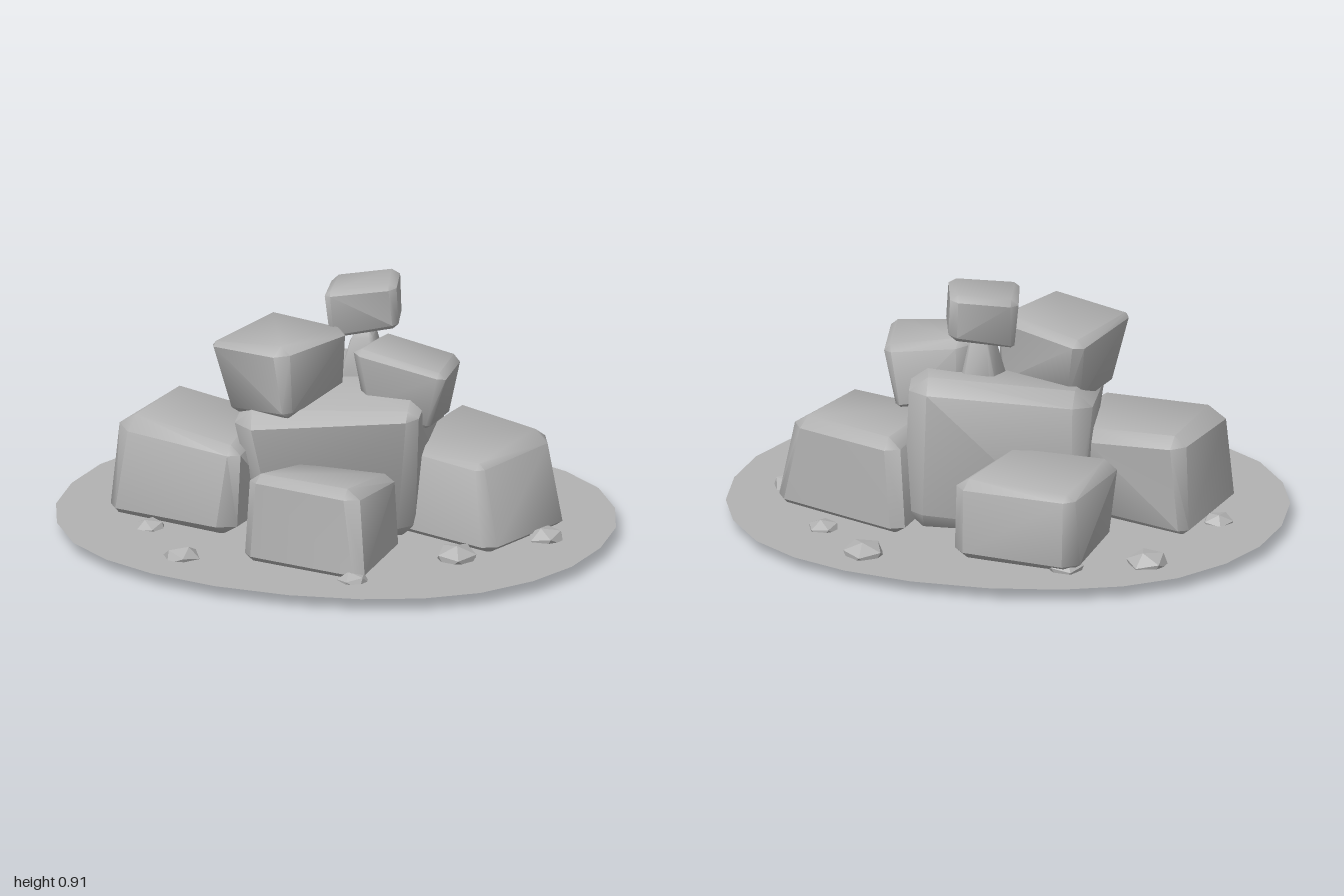
import * as THREE from 'three';
import { toCreasedNormals } from 'three/addons/utils/BufferGeometryUtils.js';
import { ConvexGeometry } from 'three/addons/geometries/ConvexGeometry.js';

// seeded random numbers for uneven chamfers and pebble turns
function seeded(seed) {
  return () => {
    seed = (seed * 16807) % 2147483647;
    return seed / 2147483647;
  };
}

// chamfered block spanned by bottom and top corners, each listed
// front-left, front-right, back-right, back-left as [x, y, z]
function rockGeometry(bottom, top, random) {
  const at = (u, v, w) => {
    const p = new THREE.Vector3();
    [bottom, top].forEach((ring, level) => ring.forEach((corner, i) => {
      const sx = i === 1 || i === 2 ? 1 : -1;
      const sz = i < 2 ? 1 : -1;
      const weight = (1 + sx * u) * (1 + (level ? v : -v)) * (1 + sz * w) / 8;
      p.addScaledVector(new THREE.Vector3(...corner), weight);
    }));
    return p;
  };
  const points = [];
  for (const x of [-1, 1]) for (const y of [-1, 1]) for (const z of [-1, 1]) {
    const k = 1 - (0.1 + 0.16 * random());
    points.push(at(x, y * k, z * k), at(x * k, y, z * k), at(x * k, y * k, z));
  }
  return toCreasedNormals(new ConvexGeometry(points), 0.85);
}

export function createModel() {
  const group = new THREE.Group();
  const stone = new THREE.MeshStandardMaterial({ color: 0xb2b2b2 });
  stone.name = 'grey stone';
  const ground = new THREE.MeshStandardMaterial({ color: 0xb2b2b2, side: THREE.DoubleSide });
  ground.name = 'grey ground';
  const random = seeded(4711);

  const add = (name, geometry, material = stone) => {
    const mesh = new THREE.Mesh(geometry, material);
    mesh.name = name;
    group.add(mesh);
    return mesh;
  };
  const rock = (name, bottom, top) => add(name, rockGeometry(bottom, top, random));
  const B = 0.04; // underside of the rocks resting on the ground

  // thin oval ground patch, one quarter outline mirrored four ways
  const quarter = [[1, 0], [0.975, 0.225], [0.9, 0.418], [0.77, 0.6], [0.6, 0.727], [0.395, 0.812], [0.14, 0.86]];
  const half = [...quarter, ...quarter.slice().reverse().map(([x, z]) => [-x, z])];
  const outline = [...half, ...half.slice(1, -1).reverse().map(([x, z]) => [x, -z])];
  const patch = new THREE.ShapeGeometry(new THREE.Shape(outline.map(([x, z]) => new THREE.Vector2(x, z))));
  add('groundPatch', patch.rotateX(-Math.PI / 2).translate(0, 0.046, 0), ground);

  // big rocks around the base
  rock('centreRock',
    [[-0.2, B, 0.25], [0.34, B, 0.15], [0.3, B, -0.38], [-0.34, B, -0.3]],
    [[-0.29, 0.48, 0.32], [0.39, 0.54, 0.22], [0.27, 0.62, -0.37], [-0.37, 0.57, -0.25]]);
  rock('leftRock',
    [[-0.78, B, 0.25], [-0.26, B, 0.38], [-0.21, B, -0.04], [-0.7, B, -0.2]],
    [[-0.76, 0.41, 0.23], [-0.24, 0.37, 0.35], [-0.28, 0.38, -0.12], [-0.68, 0.41, -0.2]]);
  rock('backRock',
    [[-0.43, B, -0.22], [-0.06, B, -0.26], [0.07, B, -0.6], [-0.42, B, -0.68]],
    [[-0.49, 0.36, -0.25], [-0.08, 0.37, -0.28], [0.06, 0.34, -0.6], [-0.4, 0.34, -0.68]]);
  rock('frontRock',
    [[-0.15, B, 0.57], [0.34, B, 0.65], [0.34, B, 0.23], [-0.08, B, 0.21]],
    [[-0.14, 0.37, 0.55], [0.3, 0.37, 0.62], [0.32, 0.32, 0.23], [-0.06, 0.31, 0.22]]);
  rock('rightRock',
    [[0.2, B, 0.08], [0.67, B, 0.22], [0.81, B, -0.2], [0.28, B, -0.45]],
    [[0.25, 0.37, 0.05], [0.61, 0.36, 0.18], [0.74, 0.39, -0.23], [0.31, 0.39, -0.42]]);

  // smaller rocks stacked on top
  rock('upperLeftRock',
    [[-0.34, 0.45, 0.2], [-0.07, 0.49, 0.3], [0.03, 0.5, -0.02], [-0.28, 0.46, -0.15]],
    [[-0.4, 0.72, 0.22], [-0.09, 0.76, 0.32], [0.06, 0.76, -0.01], [-0.31, 0.73, -0.18]]);
  rock('upperRightRock',
    [[0.13, 0.49, 0.09], [0.39, 0.45, 0.11], [0.37, 0.42, -0.16], [0.12, 0.46, -0.16]],
    [[0.08, 0.71, 0.08], [0.46, 0.66, 0.12], [0.42, 0.65, -0.16], [0.11, 0.71, -0.17]]);
  rock('wedgeRock',
    [[-0.02, 0.5, -0.02], [0.16, 0.5, -0.04], [0.14, 0.5, -0.2], [0, 0.5, -0.18]],
    [[0.03, 0.7, -0.07], [0.1, 0.73, -0.08], [0.1, 0.73, -0.14], [0.04, 0.7, -0.14]]);
  rock('topRock',
    [[-0.02, 0.71, 0.01], [0.21, 0.75, -0.07], [0.15, 0.73, -0.27], [-0.07, 0.7, -0.19]],
    [[-0.04, 0.88, 0.02], [0.2, 0.91, -0.07], [0.14, 0.91, -0.28], [-0.09, 0.88, -0.2]]);

  // pebbles sunk into the ground: x, z, radius
  const pebbles = [
    [-0.63, -0.48, 0.08], [0.37, -0.63, 0.08], [0.57, -0.415, 0.06], [0.785, -0.03, 0.07],
    [0.56, 0.28, 0.08], [0.3, 0.63, 0.06], [-0.36, 0.605, 0.07], [-0.575, 0.34, 0.06],
    [-0.77, -0.01, 0.06], [-0.36, -0.6, 0.07],
  ];
  pebbles.forEach(([x, z, r], i) => {
    const geometry = new THREE.IcosahedronGeometry(1, 0).rotateX(0.5 + random() * 0.3).rotateY(random() * 6);
    geometry.scale(r, r * 0.64, r);
    geometry.computeVertexNormals();
    geometry.computeBoundingBox();
    // the largest pebbles reach down to y = 0
    add(`pebble${i + 1}`, geometry).position.set(x, 0.005 - geometry.boundingBox.min.y - (r === 0.08 ? 0.005 : 0), z);
  });

  return group;
}
